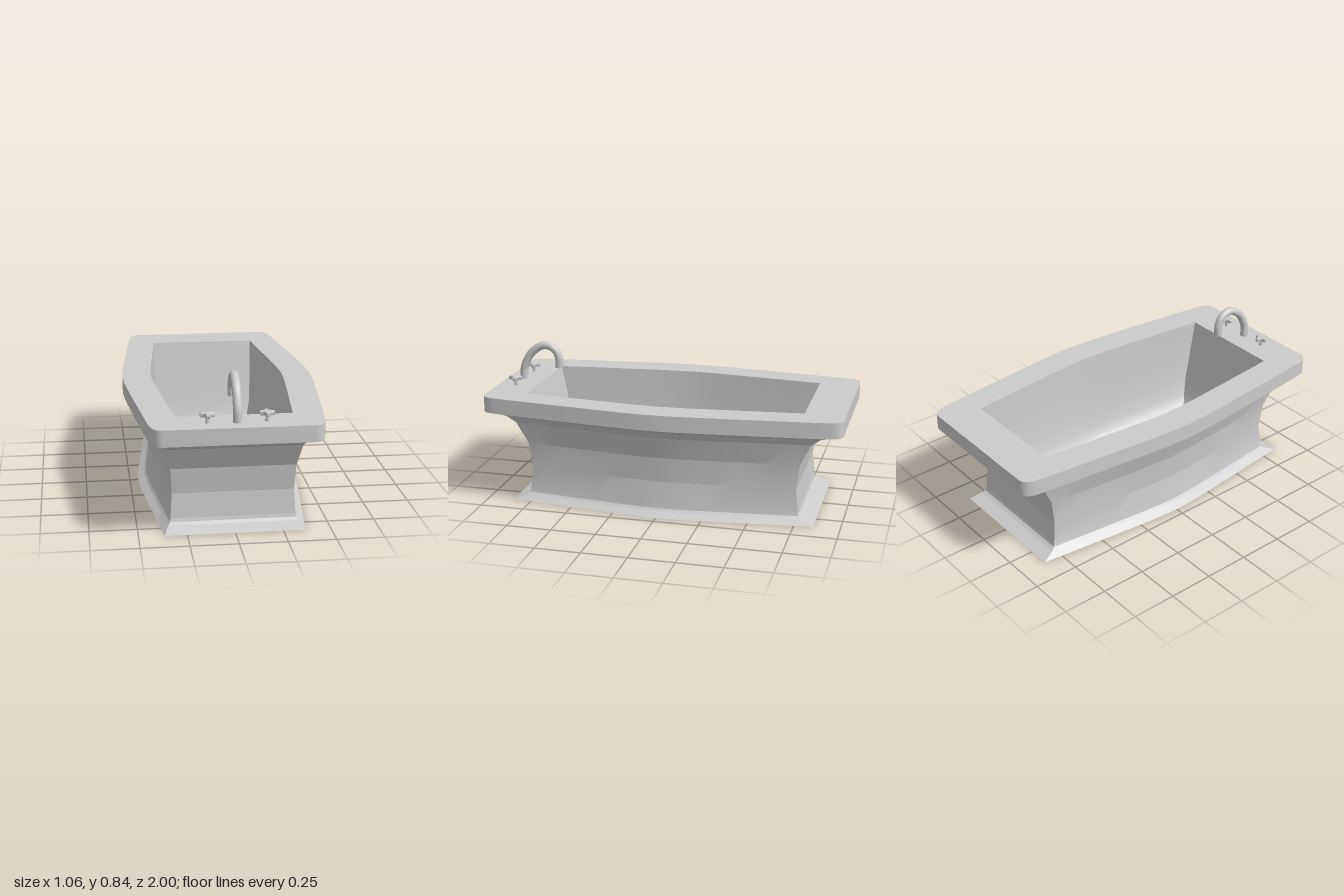
import * as THREE from 'three';
import { toCreasedNormals } from 'three/addons/utils/BufferGeometryUtils.js';

const material = new THREE.MeshStandardMaterial({ color: 0xcccccc });
const SEG = 16;

// Half width along the tub: straight tapers meeting in a softly rounded middle
function halfWidth(t, mid, end) {
  const a = 0.15;
  return mid - (mid - end) * (Math.hypot(t, a) - a) / (Math.hypot(1, a) - a);
}

// Closed plan outline as [x, z] pairs, +x side first
function outline(halfLength, mid, end) {
  const side = [];
  for (let i = 0; i <= SEG; i++) {
    const t = (2 * i) / SEG - 1;
    side.push([halfWidth(t, mid, end), t * halfLength]);
  }
  return [...side, ...side.map(([x, z]) => [-x, z]).reverse()];
}

// Skin over rings of [y, halfLength, midHalfWidth, endHalfWidth]
function loft(rings, crease) {
  const positions = [], index = [];
  const n = 2 * (SEG + 1);
  rings.forEach(([y, ...plan], r) => {
    outline(...plan).forEach(([x, z]) => positions.push(x, y, z));
    if (r === 0) return;
    for (let i = 0; i < n; i++) {
      const j = (i + 1) % n, lo = (r - 1) * n, hi = r * n;
      index.push(lo + i, hi + i, lo + j, lo + j, hi + i, hi + j);
    }
  });
  const g = new THREE.BufferGeometry();
  g.setAttribute('position', new THREE.Float32BufferAttribute(positions, 3));
  g.setIndex(index);
  return toCreasedNormals(g, crease);
}

function add(parent, name, geometry, x = 0, y = 0, z = 0) {
  const mesh = new THREE.Mesh(geometry, material);
  mesh.name = name;
  mesh.position.set(x, y, z);
  parent.add(mesh);
  return mesh;
}

// Flat slab with rounded corners and an opening for the basin
function rimGeometry() {
  const side = [];
  for (let i = 1; i < SEG; i++) {
    const t = (2 * i) / SEG - 1;
    side.push([halfWidth(t, 0.53, 0.434), t]);
  }
  const shape = new THREE.Shape();
  shape.moveTo(0.375, -1);
  shape.bezierCurveTo(0.412, -1, 0.43, -0.975, 0.438, -0.94);
  side.forEach(([x, z]) => shape.lineTo(x, z));
  shape.lineTo(0.438, 0.94);
  shape.bezierCurveTo(0.43, 0.975, 0.412, 1, 0.375, 1);
  shape.lineTo(-0.375, 1);
  shape.bezierCurveTo(-0.412, 1, -0.43, 0.975, -0.438, 0.94);
  side.reverse().forEach(([x, z]) => shape.lineTo(-x, z));
  shape.lineTo(-0.438, -0.94);
  shape.bezierCurveTo(-0.43, -0.975, -0.412, -1, -0.375, -1);
  const hole = outline(0.78, 0.37, 0.3).map(([x, z]) => new THREE.Vector2(x, z));
  shape.holes.push(new THREE.Path(hole));
  const g = new THREE.ExtrudeGeometry(shape, { depth: 0.088, bevelEnabled: false, curveSegments: 6 });
  g.rotateX(-Math.PI / 2);
  return toCreasedNormals(g, 0.5);
}

// Four-pointed tap knob
function knobGeometry() {
  const pts = [];
  for (let i = 0; i < 4; i++) {
    for (const [offset, r] of [[-0.17, 0.035], [0.17, 0.035], [0.5, 0.021], [1.07, 0.021]]) {
      const a = (i * Math.PI) / 2 + offset;
      pts.push(new THREE.Vector2(r * Math.cos(a), r * Math.sin(a)));
    }
  }
  const g = new THREE.ExtrudeGeometry(new THREE.Shape(pts), {
    depth: 0.014, bevelThickness: 0.004, bevelSize: 0.003, bevelSegments: 1,
  });
  return g.rotateX(-Math.PI / 2);
}

export function createModel() {
  const tub = new THREE.Group();
  tub.name = 'bathtub';

  // Flared pedestal body; the zero-width first ring closes the underside
  add(tub, 'body', loft([
    [0, 0.855, 0, 0],
    [0, 0.855, 0.452, 0.366],
    [0.027, 0.785, 0.413, 0.342],
    [0.04, 0.768, 0.403, 0.332],
    [0.058, 0.763, 0.4, 0.328],
    [0.19, 0.75, 0.386, 0.32],
    [0.33, 0.768, 0.397, 0.328],
    [0.455, 0.83, 0.436, 0.35],
    [0.495, 0.88, 0.468, 0.37],
    [0.517, 0.945, 0.5, 0.398],
    [0.526, 0.97, 0.52, 0.41],
  ], 0.17));

  add(tub, 'rim', rimGeometry(), 0, 0.525, 0);

  // Basin lining, from the rim down; the zero-width last ring closes the floor
  add(tub, 'basin', loft([
    [0.613, 0.78, 0.37, 0.3],
    [0.45, 0.748, 0.364, 0.298],
    [0.25, 0.705, 0.35, 0.29],
    [0.15, 0.68, 0.335, 0.272],
    [0.1, 0.66, 0.32, 0.25],
    [0.08, 0.64, 0.305, 0.23],
    [0.075, 0.625, 0.292, 0.218],
    [0.075, 0.625, 0, 0],
  ], 0.6));

  // Swan-neck spout
  const spout = new THREE.Group();
  spout.name = 'spout';
  tub.add(spout);
  const path = new THREE.CatmullRomCurve3([
    [0.612, 0.905], [0.685, 0.9], [0.77, 0.853], [0.817, 0.775],
    [0.795, 0.714], [0.745, 0.69], [0.69, 0.69],
  ].map(([y, z]) => new THREE.Vector3(0, y, z)));
  add(spout, 'spoutPipe', new THREE.TubeGeometry(path, 32, 0.023, 16));
  add(spout, 'spoutEnd', new THREE.CircleGeometry(0.023, 16).rotateX(Math.PI / 2), 0, 0.69, 0.69);

  // Pair of taps
  for (const side of [1, -1]) {
    const tap = new THREE.Group();
    tap.name = side > 0 ? 'leftTap' : 'rightTap';
    tap.position.set(side * 0.15, 0.613, 0.9);
    tub.add(tap);
    add(tap, 'stem', new THREE.CylinderGeometry(0.01, 0.01, 0.04, 12), 0, 0.02, 0);
    add(tap, 'knob', knobGeometry(), 0, 0.036, 0);
  }
  return tub;
}
